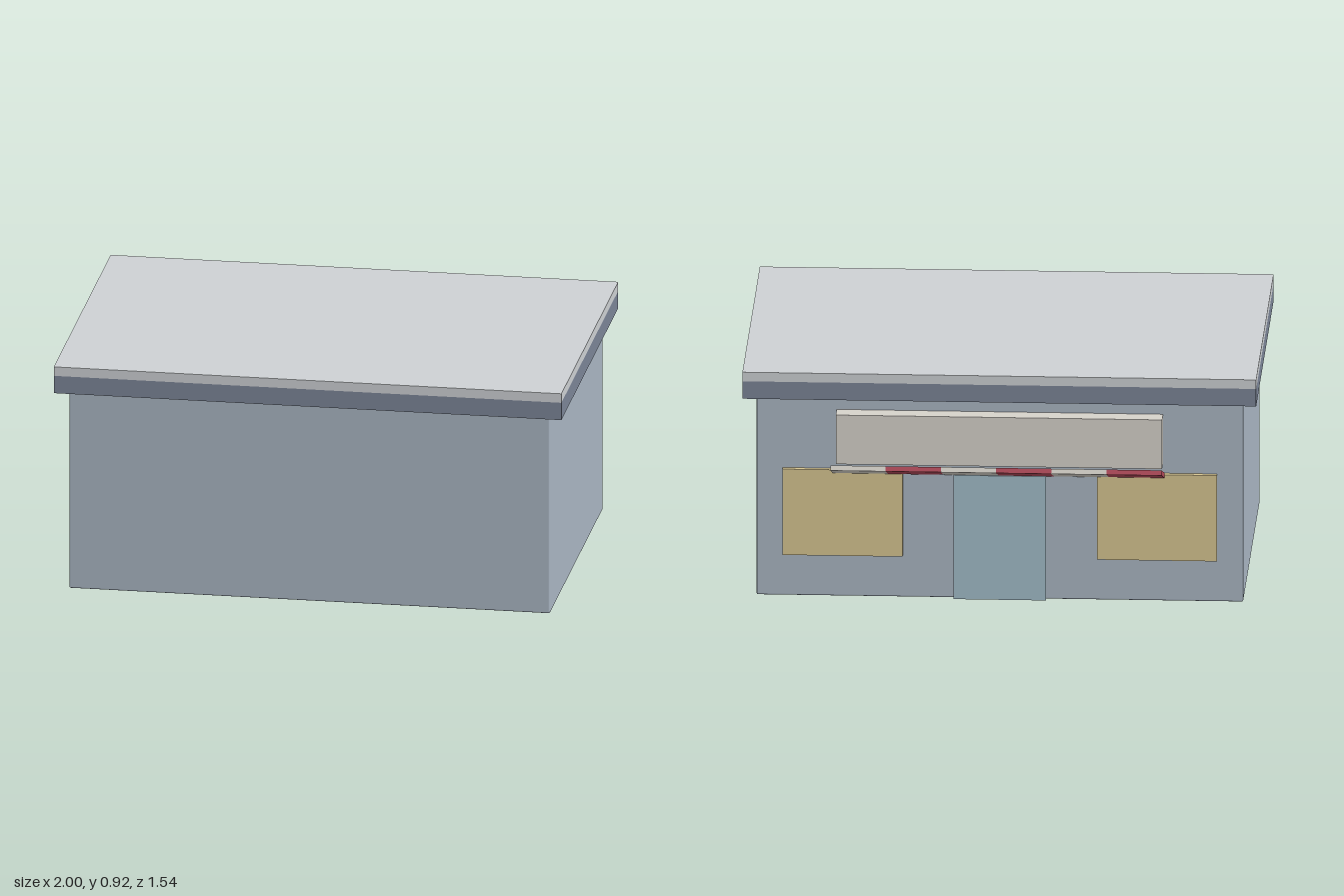
import * as THREE from 'three';
import { RoundedBoxGeometry } from 'three/addons/geometries/RoundedBoxGeometry.js';

const mat = (color) => new THREE.MeshStandardMaterial({ color });

export function createModel() {
  const shop = new THREE.Group();
  shop.name = 'shop';

  const wall = mat(0xa9b5c2), fascia = mat(0x7b8496), slab = mat(0xcdd0d3);
  const cream = mat(0xd6d2ca), red = mat(0xb04858), glass = mat(0xd6c490), doorBlue = mat(0xa2bcc8);

  // Adds a box given by its minimum and maximum corners
  function box(name, material, [x0, y0, z0], [x1, y1, z1], bevel = 0) {
    const size = [x1 - x0, y1 - y0, z1 - z0];
    const geometry = bevel ? new RoundedBoxGeometry(...size, 2, bevel) : new THREE.BoxGeometry(...size);
    const mesh = new THREE.Mesh(geometry, material);
    mesh.position.set((x0 + x1) / 2, (y0 + y1) / 2, (z0 + z1) / 2);
    mesh.name = name;
    shop.add(mesh);
    return mesh;
  }

  // Building and two-layer overhanging roof
  box('walls', wall, [-0.947, 0, -0.545], [0.947, 0.814, 0.72], 0.006);
  box('roofFascia', fascia, [-1, 0.814, -0.596], [1, 0.885, 0.767]);
  box('roofSlab', slab, [-1, 0.885, -0.596], [1, 0.922, 0.767]);

  // Shop side: door, a window on either side and the sign board
  box('door', doorBlue, [-0.18, 0, -0.565], [0.18, 0.505, -0.54]);
  for (const [name, side] of [['leftWindow', 1], ['rightWindow', -1]]) {
    const x = side * 0.612;
    box(name, glass, [x - 0.234, 0.17, -0.566], [x + 0.234, 0.52, -0.54]);
  }
  box('signBoard', cream, [-0.635, 0.56, -0.618], [0.635, 0.76, -0.545]);

  // Awning of six alternating strips, rising outwards
  const awning = new THREE.Group();
  awning.name = 'awning';
  const strips = 6, width = 0.215;
  const stripGeometry = new THREE.BoxGeometry(width, 0.02, 0.227);
  for (let i = 0; i < strips; i++) {
    const strip = new THREE.Mesh(stripGeometry, i % 2 ? cream : red);
    strip.name = 'awningStrip' + (i + 1);
    strip.position.x = (i - (strips - 1) / 2) * width;
    awning.add(strip);
  }
  awning.position.set(0.004, 0.552, -0.66);
  awning.rotation.x = THREE.MathUtils.degToRad(20);
  shop.add(awning);

  return shop;
}
